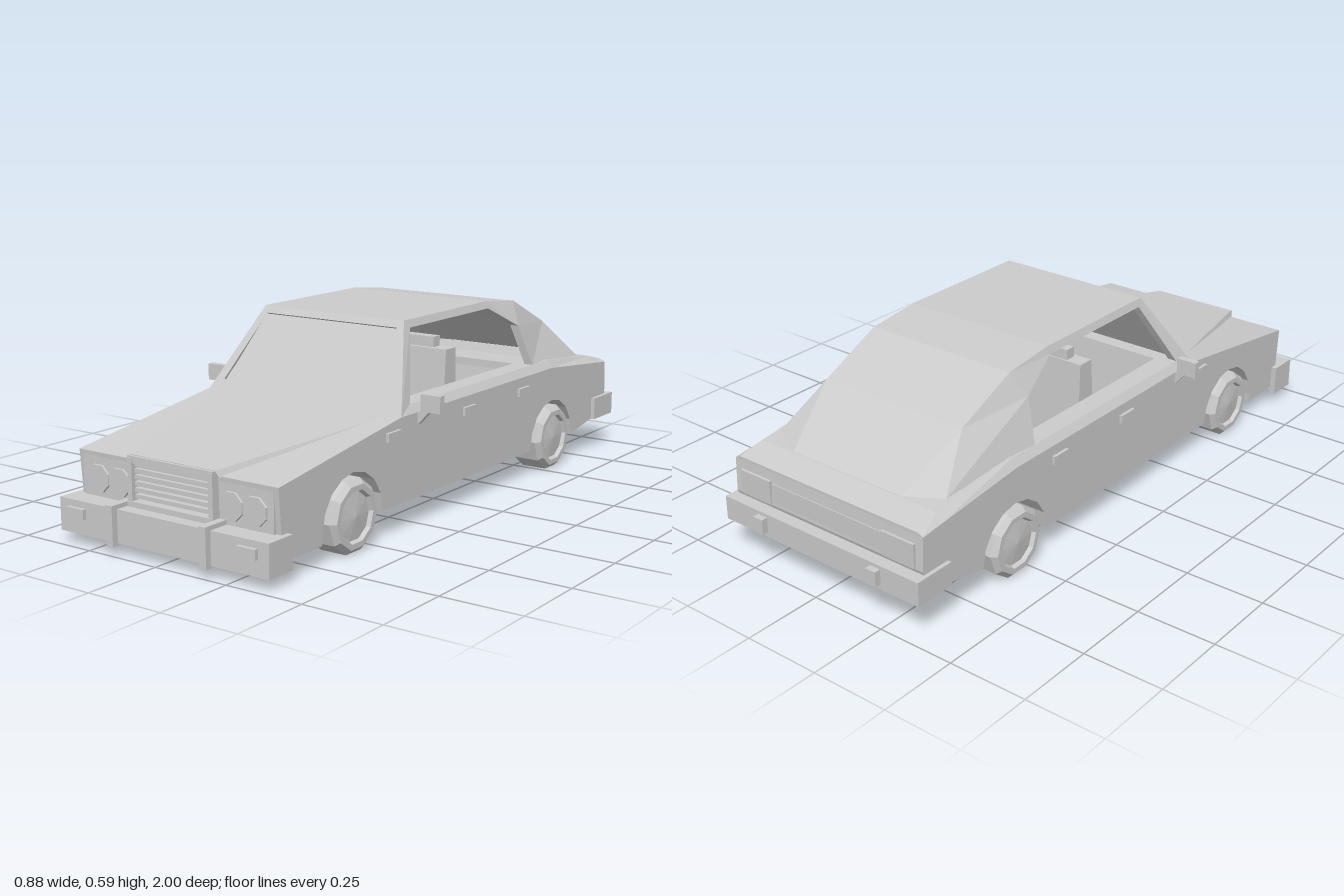
import * as THREE from 'three';

const mat = new THREE.MeshStandardMaterial({ color: 0xcccccc, flatShading: true, side: THREE.DoubleSide });

export function createModel() {
  const car = new THREE.Group();

  const add = (name, geo, x = 0, y = 0, z = 0) => {
    const mesh = new THREE.Mesh(geo, mat);
    mesh.name = name;
    mesh.position.set(x, y, z);
    car.add(mesh);
    return mesh;
  };
  const box = (name, w, h, d, x, y, z) => add(name, new THREE.BoxGeometry(w, h, d), x, y, z);
  const pair = (fn) => [1, -1].forEach(fn);
  // Faceted panels: each face is a list of three or more corners, fanned
  const panels = (name, faces) => {
    const pos = [];
    for (const f of faces)
      for (let i = 1; i < f.length - 1; i++) pos.push(...f[0], ...f[i], ...f[i + 1]);
    const geo = new THREE.BufferGeometry();
    geo.setAttribute('position', new THREE.Float32BufferAttribute(pos, 3));
    geo.computeVertexNormals();
    return add(name, geo);
  };
  const flip = (p) => [-p[0], p[1], p[2]];
  // Same faces on both sides, mirrored with reversed winding
  const bothSides = (faces) => [...faces, ...faces.map((f) => f.map(flip).reverse())];
  // Side profile in (z, y), extruded across x
  const slab = (name, pts, width, x = 0) => {
    const shape = new THREE.Shape(pts.map(([z, y]) => new THREE.Vector2(z, y)));
    const geo = new THREE.ExtrudeGeometry(shape, { depth: width, bevelEnabled: false });
    geo.translate(0, 0, -width / 2);
    geo.rotateY(-Math.PI / 2);
    return add(name, geo, x);
  };

  // Lower body: underside with two wheel arches, shared by core and side walls
  const axles = [-0.555, 0.585];
  const arch = (zc) => Array.from({ length: 9 }, (_, i) => {
    const a = Math.PI * (1 - i / 8);
    return [zc + 0.143 * Math.cos(a), 0.088 + 0.147 * Math.sin(a)];
  });
  const under = [[-0.94, 0.305], [-0.945, 0.2], [-0.92, 0.125], [-0.84, 0.115], [-0.7, 0.092],
    ...arch(axles[0]), ...arch(axles[1]), [0.73, 0.06], [0.9, 0.06], [0.915, 0.265]];
  slab('bodyCore', [...under, [0.35, 0.345], [0.3, 0.345], [0.28, 0.13], [-0.42, 0.13],
    [-0.45, 0.345], [-0.55, 0.345]], 0.56);
  pair((s) => slab('bodySide', [...under, [0.35, 0.345], [-0.55, 0.345]], 0.083, s * 0.3205));

  // Rear deck with chamfered edges, lofted from sections [z, side y, top x, top y]
  const deck = [[-0.43, 0.345, 0.345, 0.37], [-0.55, 0.345, 0.345, 0.37],
    [-0.86, 0.314, 0.335, 0.336], [-0.94, 0.305, 0.345, 0.314]];
  const deckFaces = [];
  const row = ([z, y0, x1, y1]) => [[0.362, y0, z], [x1, y1, z], [-x1, y1, z], [-0.362, y0, z]];
  for (let i = 0; i < deck.length - 1; i++) {
    const a = row(deck[i]), b = row(deck[i + 1]);
    for (let j = 0; j < 3; j++) deckFaces.push([a[j], a[j + 1], b[j + 1], b[j]]);
  }
  deckFaces.push(row(deck[0]).reverse(), row(deck[3]));
  panels('rearDeck', deckFaces);

  // Door sills: chamfer outside, flat ledge and inner wall
  panels('beltLine', bothSides([
    [[0.362, 0.345, 0.35], [0.362, 0.345, -0.43], [0.345, 0.37, -0.43], [0.345, 0.37, 0.28]],
    [[0.345, 0.37, 0.28], [0.345, 0.37, -0.43], [0.28, 0.37, -0.43], [0.28, 0.37, 0.28]],
    [[0.28, 0.37, 0.28], [0.28, 0.37, -0.43], [0.28, 0.34, -0.43], [0.28, 0.34, 0.28]],
  ]));

  // Raised bonnet centre, tapering into the bonnet at the back
  const hb = [0.3, 0.339, 0.42], hf = [0.155, 0.281, 0.925], hl = [0.165, 0.262, 0.92];
  panels('bonnetBulge', [
    [flip(hb), flip(hf), hf, hb],
    [flip(hf), flip(hl), hl, hf],
    [hb, flip(hb), [-0.35, 0.345, 0.355], [0.35, 0.345, 0.355]],
    ...bothSides([[hb, hf, hl]]),
  ]);

  // Greenhouse: outer edge and window edge of one side, front to back
  const outer = [[0.362, 0.345, 0.35], [0.262, 0.595, 0.19], [0.262, 0.595, -0.28],
    [0.262, 0.575, -0.455], [0.26, 0.48, -0.66], [0.322, 0.345, -0.8]];
  const win = [[0.345, 0.37, 0.28], [0.27, 0.572, 0.17], [0.27, 0.572, -0.28],
    [0.302, 0.5, -0.42], [0.345, 0.37, -0.445]];
  const [A, B, C, D, E, F] = outer;
  const side = [
    [A, B, win[1], win[0]], [B, C, win[2], win[1]], [C, D, win[3], win[2]],
    [D, E, win[3]], [E, F, win[4], win[3]],
  ];
  // Depth of the window frame
  const inward = ([x, y, z]) => [x - 0.03, y, z];
  for (let i = 0; i < 4; i++) side.push([win[i], win[i + 1], inward(win[i + 1]), inward(win[i])]);
  panels('pillars', bothSides(side));

  const R = [0.21, 0.338, -0.855];
  const span = (a, b) => [a, flip(a), flip(b), b];
  panels('roof', [span(B, C), span(C, D)]);
  panels('rearWindow', [span(D, E), span(E, R), ...bothSides([[E, R, F]])]);

  // Windscreen: surround with a slightly recessed pane
  const g0 = [0.318, 0.375, 0.331], g1 = [0.245, 0.574, 0.2034];
  const sunk = ([x, y, z]) => [x, y - 0.004, z - 0.006];
  panels('windscreenFrame', [span(A, g0), span(g1, B), ...bothSides([[A, B, g1, g0]]),
    [g0, flip(g0), sunk(flip(g0)), sunk(g0)], [g1, flip(g1), sunk(flip(g1)), sunk(g1)]]);
  panels('windscreen', [span(sunk(g0), sunk(g1))]);

  // Seats
  pair((s) => {
    slab('frontSeatBack', [[-0.12, 0.2], [-0.035, 0.2], [-0.055, 0.47], [-0.11, 0.47]], 0.22, s * 0.145);
    box('headrest', 0.11, 0.04, 0.035, s * 0.145, 0.483, -0.087);
    box('frontSeatCushion', 0.22, 0.08, 0.22, s * 0.145, 0.19, 0.05);
  });
  box('rearBench', 0.54, 0.09, 0.17, 0, 0.18, -0.335);

  // Grille with slats
  box('grilleTop', 0.31, 0.02, 0.05, 0, 0.27, 0.91);
  box('grilleBottom', 0.31, 0.016, 0.05, 0, 0.143, 0.915);
  pair((s) => box('grilleSide', 0.016, 0.14, 0.05, s * 0.147, 0.205, 0.912));
  for (let i = 0; i < 6; i++) box('grilleSlat', 0.28, 0.012, 0.02, 0, 0.163 + i * 0.0185, 0.915);

  // Headlights and their surrounds
  pair((s) => {
    box('lightPanel', 0.185, 0.115, 0.02, s * 0.253, 0.193, 0.905);
    for (const x of [0.203, 0.285]) {
      const lamp = add('headlight', new THREE.CylinderGeometry(0.042, 0.044, 0.02, 8), s * x, 0.19, 0.912);
      lamp.rotation.set(Math.PI / 2, Math.PI / 8, 0);
    }
    box('tailLight', 0.12, 0.075, 0.012, s * 0.275, 0.24, -0.944);
  });
  box('rearPanel', 0.42, 0.06, 0.006, 0, 0.24, -0.942);

  // Bumpers with guards and wrapped ends
  box('frontBumper', 0.76, 0.098, 0.08, 0, 0.086, 0.94);
  box('rearBumper', 0.75, 0.075, 0.06, 0, 0.152, -0.95);
  pair((s) => {
    box('frontBumperEnd', 0.02, 0.098, 0.09, s * 0.37, 0.086, 0.925);
    box('rearBumperEnd', 0.02, 0.075, 0.1, s * 0.365, 0.152, -0.895);
    box('frontGuard', 0.025, 0.118, 0.09, s * 0.17, 0.089, 0.955);
    box('rearGuard', 0.036, 0.048, 0.03, s * 0.22, 0.155, -0.985);
    box('indicator', 0.065, 0.03, 0.02, s * 0.311, 0.1, 0.982);
  });

  // Side trim and mirrors
  const stalk = new THREE.Shape([[0.345, 0.335], [0.365, 0.31], [0.402, 0.35], [0.376, 0.352]]
    .map(([x, y]) => new THREE.Vector2(x, y)));
  pair((s) => {
    for (const z of [0.395, -0.018, -0.352]) box('sideHandle', 0.014, 0.026, 0.066, s * 0.365, 0.3, z);
    box('mirror', 0.068, 0.052, 0.022, s * 0.406, 0.374, 0.255);
    const geo = new THREE.ExtrudeGeometry(stalk, { depth: 0.015, bevelEnabled: false });
    if (s < 0) geo.rotateY(Math.PI);
    add('mirrorStalk', geo, 0, 0, s > 0 ? 0.25 : 0.265);
  });

  // Wheels: ten-sided tyre with a dished hub
  const profile = [[0, 0], [0.11, 0], [0.11, 0.085], [0.095, 0.1], [0.078, 0.1], [0.072, 0.088], [0, 0.096]]
    .map(([r, h]) => new THREE.Vector2(r, h));
  const wheelGeo = new THREE.LatheGeometry(profile, 10);
  pair((s) => axles.forEach((z) => {
    const wheel = add(z > 0 ? 'frontWheel' : 'rearWheel', wheelGeo, s * 0.275, 0.108, z);
    wheel.rotation.z = -s * Math.PI / 2;
  }));

  return car;
}
